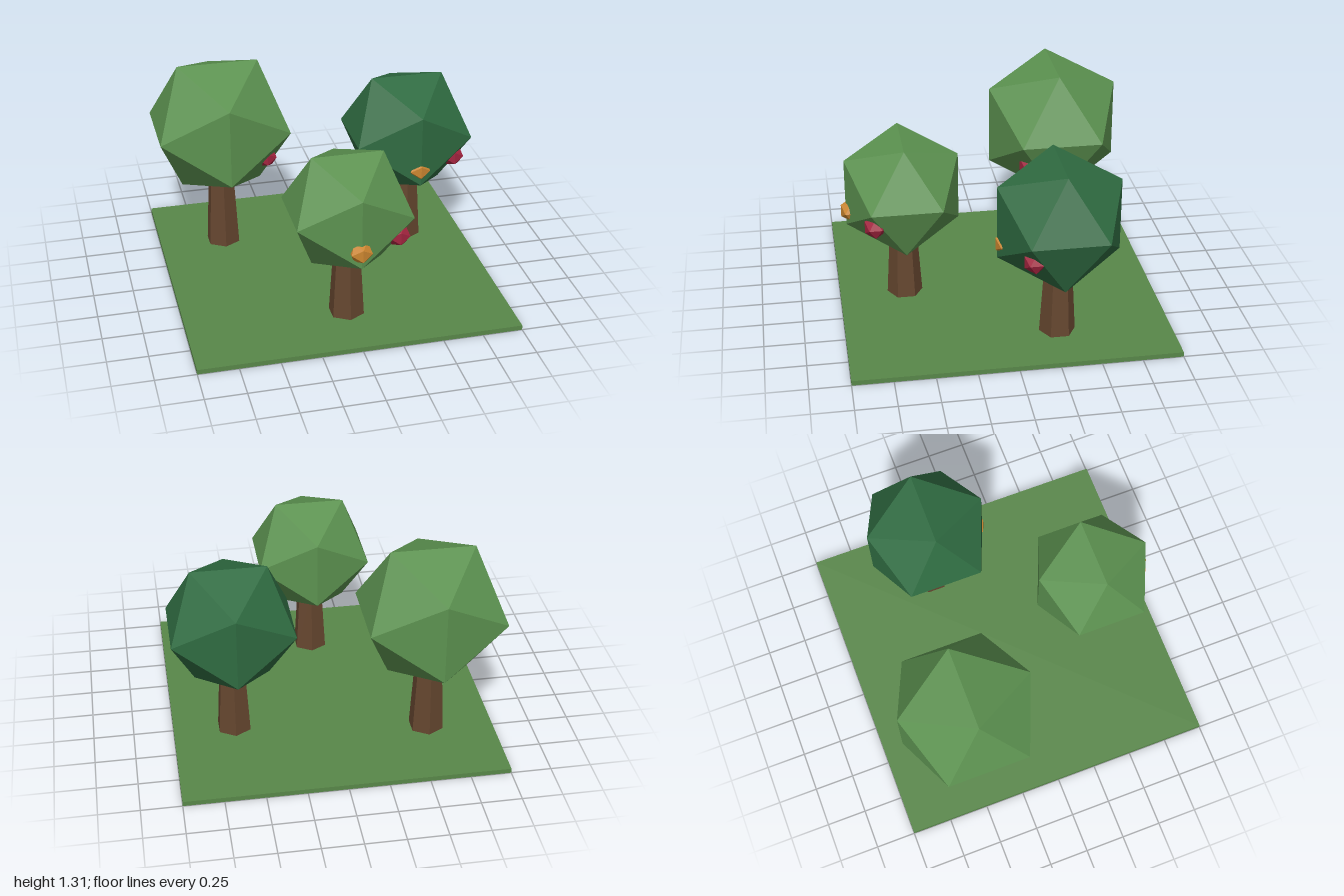
import * as THREE from 'three';

const paint = (name, color) => {
  const m = new THREE.MeshStandardMaterial({ color });
  m.name = name;
  m.flatShading = true;
  return m;
};

export function createModel() {
  const grass = paint('grass green', 0x588749);
  const leaf = paint('leaf green', 0x5c9250);
  const darkLeaf = paint('dark leaf green', 0x2f6b41);
  const bark = paint('bark brown', 0x65462f);
  const orange = paint('orange fruit', 0xcc8630);
  const red = paint('red fruit', 0xa3243f);

  const model = new THREE.Group();
  model.name = 'orchard';

  const add = (parent, name, geometry, material, x, y, z) => {
    const mesh = new THREE.Mesh(geometry, material);
    mesh.name = name;
    mesh.position.set(x, y, z);
    parent.add(mesh);
  };

  // Ground slab
  add(model, 'ground', new THREE.BoxGeometry(2, 0.03, 2), grass, 0, 0.015, 0);

  // Trees: position, crown centre height, crown radius, fruit height
  const trees = [
    { x: -0.583, z: -0.472, crownY: 0.89, r: 0.49, fruitY: 0.705, crown: leaf },
    { x: 0, z: 0.585, crownY: 0.757, r: 0.417, fruitY: 0.635, crown: leaf },
    { x: 0.617, z: -0.295, crownY: 0.801, r: 0.442, fruitY: 0.66, crown: darkLeaf },
  ];
  const fruit = new THREE.IcosahedronGeometry(0.075, 0);

  for (const t of trees) {
    const tree = new THREE.Group();
    tree.name = 'tree';
    tree.position.set(t.x, 0, t.z);
    model.add(tree);

    // Tapered six-sided trunk, reaching just inside the crown
    const height = t.fruitY - 0.17;
    add(tree, 'trunk', new THREE.CylinderGeometry(0.085, 0.114, height, 6), bark, 0, height / 2 + 0.005, 0);
    add(tree, 'crown', new THREE.IcosahedronGeometry(t.r, 0), t.crown, 0, t.crownY, 0);

    // Fruit half sunk into the crown
    add(tree, 'orangeFruit', fruit, orange, 0, t.fruitY, 0.321);
    add(tree, 'redFruit', fruit, red, 0.264, t.fruitY + 0.01, 0.192);
  }
  return model;
}
